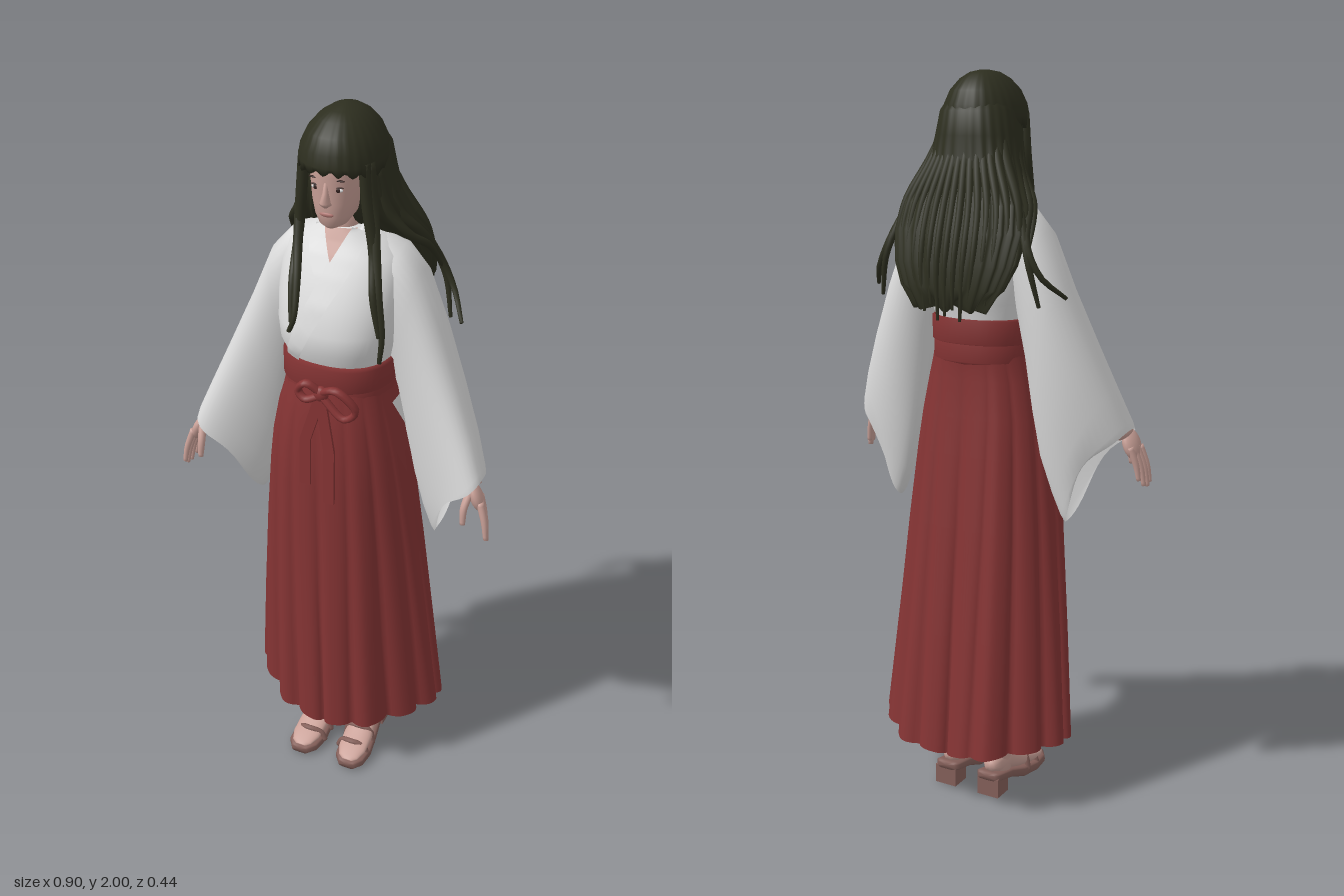
import * as THREE from 'three';

const V = (x, y, z) => new THREE.Vector3(x, y, z);
const spow = (v, p) => Math.sign(v) * Math.abs(v) ** p;

// Skin a list of equal-length rings; optional end caps; winding fixed by signed volume
function loft(rings, caps = true) {
  const n = rings[0].length, m = rings.length, pts = rings.flat(), idx = [];
  for (let i = 0; i < m - 1; i++) for (let j = 0; j < n; j++) {
    const k = (j + 1) % n, a = i * n + j, b = i * n + k;
    idx.push(a, a + n, b, b, a + n, b + n);
  }
  if (caps) for (const end of [0, m - 1]) {
    const c = pts.length, mid = V(0, 0, 0);
    rings[end].forEach(p => mid.addScaledVector(p, 1 / n));
    pts.push(mid);
    for (let j = 0; j < n; j++) {
      const a = end * n + j, b = end * n + (j + 1) % n;
      end ? idx.push(c, b, a) : idx.push(c, a, b);
    }
  }
  const o = rings[m >> 1].reduce((s, p) => s.addScaledVector(p, 1 / n), V(0, 0, 0));
  let vol = 0;
  for (let i = 0; i < idx.length; i += 3) {
    const [a, b, c] = [0, 1, 2].map(k => pts[idx[i + k]].clone().sub(o));
    vol += a.dot(b.cross(c));
  }
  if (vol < 0) idx.reverse();
  const g = new THREE.BufferGeometry().setFromPoints(pts);
  g.setIndex(idx);
  g.computeVertexNormals();
  return g;
}

// Horizontal rounded ring from [y, halfWidth, zFront, zBack]
function oval([y, w, zf, zb], n = 40, p = 1, fold = () => 1, dy = () => 0) {
  return Array.from({ length: n }, (_, j) => {
    const t = j / n * Math.PI * 2, f = fold(t);
    return V(w * f * spow(Math.cos(t), p), y + dy(t), (zf + zb) / 2 + (zf - zb) / 2 * f * spow(Math.sin(t), p));
  });
}

// Tapering strand along a smooth path
function strand(points, r0, r1, n = 8, steps = 18, flat = 1) {
  const c = new THREE.CatmullRomCurve3(points.map(p => V(...p))), f = c.computeFrenetFrames(steps);
  return loft(Array.from({ length: steps + 1 }, (_, i) => {
    const r = r0 + (r1 - r0) * (i / steps) ** 2, o = c.getPointAt(i / steps);
    return Array.from({ length: n }, (_, j) => {
      const t = j / n * Math.PI * 2;
      return o.clone().addScaledVector(f.normals[i], r * Math.cos(t)).addScaledVector(f.binormals[i], r * flat * Math.sin(t));
    });
  }));
}

const TORSO = [[1.33, .135, .165, -.085], [1.37, .14, .172, -.09], [1.41, .152, .192, -.1], [1.46, .16, .19, -.11],
  [1.53, .165, .168, -.112], [1.6, .165, .132, -.105], [1.645, .15, .105, -.095], [1.675, .11, .085, -.08], [1.705, .055, .068, -.04]];

// Height of the chest surface at x, y
function chestZ(x, y) {
  let i = 0;
  while (i < TORSO.length - 2 && TORSO[i + 1][0] < y) i++;
  const a = TORSO[i], b = TORSO[i + 1], k = Math.min(1, (y - a[0]) / (b[0] - a[0]));
  const [w, zf, zb] = [1, 2, 3].map(q => a[q] + (b[q] - a[q]) * k), e = 2 / .85;
  return (zf + zb) / 2 + (zf - zb) / 2 * Math.max(0, 1 - Math.min(1, Math.abs(x) / w) ** e) ** (1 / e);
}

// Thin band of cloth lying on the chest between two edge lines of [x, y]
function drape(e0, e1, lift) {
  const S = 24, U = 6, g = new THREE.PlaneGeometry(1, 1, U, S), pos = g.attributes.position;
  const c0 = new THREE.SplineCurve(e0.map(p => new THREE.Vector2(...p)));
  const c1 = new THREE.SplineCurve(e1.map(p => new THREE.Vector2(...p)));
  for (let i = 0; i <= S; i++) for (let j = 0; j <= U; j++) {
    const p = c0.getPoint(i / S).lerp(c1.getPoint(i / S), j / U);
    pos.setXYZ(i * (U + 1) + j, p.x, p.y, chestZ(p.x, p.y) + lift);
  }
  g.computeVertexNormals();
  return g;
}

export function createModel() {
  const model = new THREE.Group();
  const mat = (name, color, side = THREE.FrontSide) => Object.assign(new THREE.MeshStandardMaterial({ color, side }), { name });
  const white = mat('white cloth', 0xdcdcdc, THREE.DoubleSide), red = mat('red cloth', 0x853434, THREE.DoubleSide);
  const hair = mat('dark hair', 0x2d2e1f), skin = mat('skin', 0xc9a097, THREE.DoubleSide);
  const brown = mat('sandal brown', 0x85605a), dark = mat('eye dark', 0x33211f), lip = mat('lip', 0xae746f);
  const add = (name, g, m, parent = model) => {
    const mesh = new THREE.Mesh(g, m);
    mesh.name = name;
    parent.add(mesh);
    return mesh;
  };
  const ball = (name, m, pos, scale) => {
    const b = add(name, new THREE.SphereGeometry(1, 20, 14), m);
    b.position.set(...pos);
    b.scale.set(...scale);
    return b;
  };

  // Pleated skirt, open at the hem, with four soft corners and a hollow back: [y, halfWidth, zFront, zBack, pleat, squareness]
  const skirt = [[1.31, .137, .178, -.088, 0, .85], [1.25, .15, .187, -.088, .01, .85], [1.2, .165, .195, -.09, .02, .87],
    [1.1, .187, .202, -.102, .03, .9], [1, .203, .204, -.117, .04, .95], [.8, .228, .204, -.145, .055, 1.02],
    [.5, .26, .204, -.19, .075, 1.12], [.17, .29, .204, -.24, .1, 1.2]];
  add('skirt', loft(skirt.map((r, i) => oval(r, 160, r[5], t => {
    const s = Math.sin(t), corner = Math.exp(-(((Math.abs(s) - .88) / .07) ** 2));
    return 1 + r[4] * (.7 * corner - (1 - Math.abs(Math.sin(8 * t))) ** 1.5 - 1.5 * Math.max(0, -s) ** 16);
  }, t => i === 7 ? .036 * Math.abs(Math.cos(t)) - .007 : 0)), false), red);
  // White cloth showing in the side openings below the waistband
  for (const s of [-1, 1]) {
    const g = new THREE.BufferGeometry().setFromPoints([V(s * .157, 1.25, .08), V(s * .157, 1.25, -.01), V(s * .188, 1.13, .02)]);
    g.computeVertexNormals();
    add('sideOpening', g, white);
  }
  // Waistband with two overlapping wraps
  [[1.245, 1.312, .003], [1.295, 1.372, .007]].forEach(([y0, y1, o]) => add('waistband',
    loft([[y0, -.004], [y0 + .008, o], [y1 - .008, o], [y1, -.004]].map(([y, d]) => oval([y, .141 + d, .177 + d, -.088 - d], 48, .85))), red));
  // Bow: knot, two loops, two hanging tails
  const knot = add('bowKnot', new THREE.SphereGeometry(.02, 14, 10), red);
  knot.position.set(.012, 1.305, .2);
  knot.scale.set(1, 1.1, .8);
  [[[.01, 1.31, .2], [-.025, 1.335, .212], [-.05, 1.305, .205], [-.03, 1.285, .207], [.01, 1.3, .2]],
    [[.01, 1.31, .2], [.06, 1.33, .212], [.108, 1.275, .2], [.08, 1.25, .207], [.012, 1.3, .2]]]
    .forEach(p => add('bowLoop', strand(p, .013, .013, 8, 24, .7), red));
  [[-.03, 1.03], [.038, .985]].forEach(([x, y]) => {
    const h = 1.3 - y, g = new THREE.BoxGeometry(.03, h, .008, 1, 10, 1), p = g.attributes.position;
    for (let i = 0; i < p.count; i++) {
      const k = .5 - p.getY(i) / h;
      p.setXYZ(i, p.getX(i) + .012 + (x - .012) * Math.min(1, k * 2), p.getY(i) + (1.3 + y) / 2, p.getZ(i) + .206 + .009 * k);
    }
    g.computeVertexNormals();
    add('bowTail', g, red);
  });

  // Jacket body, bare throat and crossed collar
  add('jacket', loft(TORSO.map(r => oval(r, 48, .85))), white);
  add('throat', drape([[-.046, 1.705], [-.022, 1.665], [0, 1.625]], [[.046, 1.705], [.022, 1.665], [0, 1.625]], .003), skin);
  add('underCollar', drape([[-.038, 1.71], [-.015, 1.66], [.02, 1.595]], [[-.075, 1.69], [-.055, 1.63], [0, 1.555]], .006), white);
  add('overCollar', drape([[.038, 1.71], [.015, 1.66], [-.03, 1.56], [-.1, 1.38]],
    [[.078, 1.69], [.06, 1.62], [.01, 1.52], [-.06, 1.375]], .011), white);
  add('backCollar', strand([[-.056, 1.69, .05], [-.05, 1.71, -.02], [0, 1.715, -.045], [.05, 1.71, -.02], [.056, 1.69, .05]], .014, .014), white);

  // Head, neck and face
  const headRows = [[1.722, .014, .118, .085], [1.732, .034, .128, .05], [1.755, .049, .134, .015], [1.79, .06, .137, -.015],
    [1.825, .066, .137, -.035], [1.86, .069, .141, -.05], [1.9, .069, .138, -.05], [1.94, .055, .11, -.03]];
  add('head', loft(headRows.map(r => oval(r, 36, .92))), skin);
  add('neck', loft([[1.6, .055, .09, -.03], [1.66, .043, .072, -.02], [1.7, .038, .068, -.015], [1.77, .04, .07, -.02]].map(r => oval(r, 24))), skin);
  add('nose', loft([[1.782, .004, .142, .12], [1.79, .015, .15, .12], [1.797, .013, .156, .12], [1.82, .008, .146, .12],
    [1.848, .006, .139, .12]].map(r => oval(r, 12))), skin);
  ball('lips', lip, [0, 1.763, .133], [.018, .006, .005]);
  for (const s of [-1, 1]) {
    ball('eyeWhite', white, [s * .029, 1.828, .1275], [.012, .005, .004]);
    ball('iris', dark, [s * .029, 1.828, .13], [.006, .006, .003]);
    ball('eyelid', dark, [s * .029, 1.835, .129], [.015, .002, .004]);
    ball('eyebrow', dark, [s * .03, 1.853, .13], [.017, .0025, .004]);
  }

  // Hair cap with fringe
  const cap = [[2, .008, .035, .005], [1.994, .035, .07, -.025], [1.978, .06, .1, -.052], [1.95, .084, .13, -.078],
    [1.915, .1, .146, -.092], [1.885, .105, .152, -.098], [1.858, .104, .152, -.098]];
  add('hairCap', loft(cap.map((r, i) => oval(r, 96, .92, t => 1 + .01 * i / 6 * Math.sin(26 * t),
    t => i === 6 ? .006 * Math.sin(19 * t) + .014 * Math.max(0, Math.sin(t)) ** 2 : 0))), hair);
  // Long hair down the back
  const back = [[1.95, .07, .06, -.06], [1.9, .1, .09, -.098], [1.84, .111, .095, -.108], [1.78, .122, .075, -.116], [1.72, .148, .045, -.13],
    [1.67, .178, -.005, -.146], [1.6, .188, -.045, -.166], [1.52, .174, -.08, -.183], [1.46, .148, -.11, -.187], [1.42, .11, -.135, -.185]];
  add('backHair', loft(back.map((r, i) => oval(r, 128, .86, t => 1 + Math.min(.035, .005 * i) * Math.sin(24 * t + .3 * i),
    t => i > 8 ? .02 * Math.sin(9 * t) : 0))), hair);
  // Raised locks running down the back
  for (let i = -7; i <= 7; i++) {
    const u = i / 7, c = Math.sqrt(1 - .8 * u * u), end = 1.39 + .1 * u * u + .02 * Math.sin(i * 4);
    add('backLock', strand([[u * .065, 1.9, -.005 - .05 * c], [u * .112, 1.78, -.03 - .076 * c], [u * .17, 1.66, -.07 - .076 * c],
      [u * .177, 1.53, -.09 - .092 * c], [u * .15, end, -.1 - .085 * c]], .013, .004), hair);
  }
  // Front locks and strands over the shoulders
  [[[-.085, 1.89, .075], [-.095, 1.78, .075], [-.088, 1.68, .11], [-.068, 1.58, .165], [-.062, 1.5, .198], [-.075, 1.465, .2]],
    [[-.078, 1.89, .09], [-.084, 1.8, .092], [-.092, 1.68, .1], [-.083, 1.58, .16], [-.07, 1.49, .197]],
    [[.085, 1.89, .075], [.095, 1.76, .07], [.112, 1.67, .095], [.135, 1.57, .13], [.152, 1.47, .145], [.148, 1.4, .15]],
    [[.078, 1.89, .09], [.086, 1.78, .088], [.105, 1.67, .095], [.125, 1.57, .14], [.146, 1.47, .15]]]
    .forEach(p => add('frontLock', strand(p, .015, .006, 8, 28), hair));
  for (const s of [-1, 1]) {
    [[[.085, 1.86, .01], [.125, 1.74, -.01], [.172, 1.67, -.055], [.2, 1.58, -.12], [.24, 1.5, -.12], [.285, 1.44, -.06]],
      [[.085, 1.84, -.03], [.135, 1.71, -.06], [.182, 1.62, -.105], [.212, 1.53, -.13], [.235, 1.42, -.115]],
      [[.085, 1.86, .04], [.112, 1.75, .02], [.158, 1.68, -.01], [.188, 1.64, -.06], [.205, 1.56, -.12]]]
      .forEach(p => add('shoulderLock', strand(p.map(([x, y, z]) => [s * x, y, z]), .014, .005), hair));
  }

  for (const s of [-1, 1]) {
    // Wide hanging sleeve: [top edge, bottom edge, half depth]
    const rows = [[[.09, 1.685, 0], [.1, 1.4, .03], .07], [[.15, 1.66, 0], [.125, 1.34, .01], .088], [[.203, 1.6, 0], [.148, 1.25, 0], .092],
      [[.262, 1.46, .005], [.17, 1.12, -.005], .095], [[.325, 1.31, .028], [.195, 1, -.008], .095], [[.375, 1.19, .052], [.225, .905, 0], .09],
      [[.408, 1.105, .075], [.25, .845, .003], .084], [[.413, 1.085, .08], [.262, .828, .005], .08]];
    add('sleeve', loft(rows.map(([a, b, d], i) => {
      const pull = Math.max(0, i - 5) / 2;
      return Array.from({ length: 36 }, (_, j) => {
        const t = j / 36 * Math.PI * 2, k = (1 - Math.cos(t)) / 2, q = pull * Math.sin(k * Math.PI) ** 2;
        const p = a.map((v, n) => v + (b[n] - v) * k);
        return V(s * (p[0] - q * .018), p[1] + q * .035, p[2] + d * spow(Math.sin(t), .85) * (1.12 - .55 * k));
      });
    }), false), white);
    // Forearm, palm, spread fingers and thumb
    const limb = (name, pts, r0, r1, flat = 1) => add(name, strand(pts.map(([x, y, z]) => [s * x, y, z]), r0, r1, 12, 12, flat), skin);
    limb('forearm', [[.24, 1.34, 0], [.31, 1.2, .035], [.39, 1.065, .092]], .037, .025);
    const palm = ball('palm', skin, [s * .405, 1.04, .1], [.018, .044, .031]);
    palm.rotation.set(0, s * .3, s * .4);
    for (let f = 0; f < 4; f++) {
      const x = .409 + f * .004, z = .08 + f * .0125, l = [.8, .97, 1, .9][f];
      limb('finger', [[x, 1.035, z], [x + .02 * l, 1.02 - .045 * l, z + .01 * l], [x + .028 * l, 1.02 - .095 * l, z + .015 * l]], .0095, .006);
    }
    limb('thumb', [[.392, 1.06, .115], [.385, 1.02, .138], [.386, .975, .146]], .011, .007);

    // Lower leg and foot
    const x0 = s * .07;
    add('leg', loft([[.05, .03, .03, -.06], [.09, .032, .045, -.062], [.13, .033, .03, -.056], [.19, .037, .025, -.056],
      [.4, .046, .04, -.06], [.6, .05, .05, -.05]].map(r => oval(r, 24)))
      , skin).position.x = x0;
    // Rings set along z from [z, halfWidth, yBottom, yTop]
    const along = (list, p) => loft(list.map(([z, w, yb, yt]) => oval([0, w, yt, yb], 24, p).map(v => V(v.x + x0 + s * z * .04, v.z, z))));
    add('foot', along([[-.068, .015, .07, .1], [-.05, .03, .06, .12], [0, .034, .05, .125], [.05, .038, .035, .095], [.1, .044, .028, .072],
      [.15, .042, .026, .054], [.18, .03, .026, .044], [.19, .015, .028, .036]], .9), skin);
    // Sandal sole, heel and straps
    add('sandalSole', along([[-.084, .028, .05, .072], [-.07, .038, .046, .072], [0, .038, .028, .058], [.06, .044, .004, .04],
      [.12, .051, 0, .033], [.17, .045, .002, .033], [.197, .025, .006, .032]], .5), brown);
    const heel = add('sandalHeel', new THREE.BoxGeometry(.066, .056, .06), brown);
    heel.position.set(x0, .028, -.052);
    [[.08, .083, .045], [.13, .062, .047]].forEach(([z, y, w]) => add('sandalStrap', strand([[x0 - w, .02, z], [x0 - w * .75, y - .016, z],
      [x0, y - .003, z + .008], [x0 + w * .75, y - .016, z], [x0 + w, .02, z]], .008, .008, 8, 20), brown));
  }
  return model;
}
